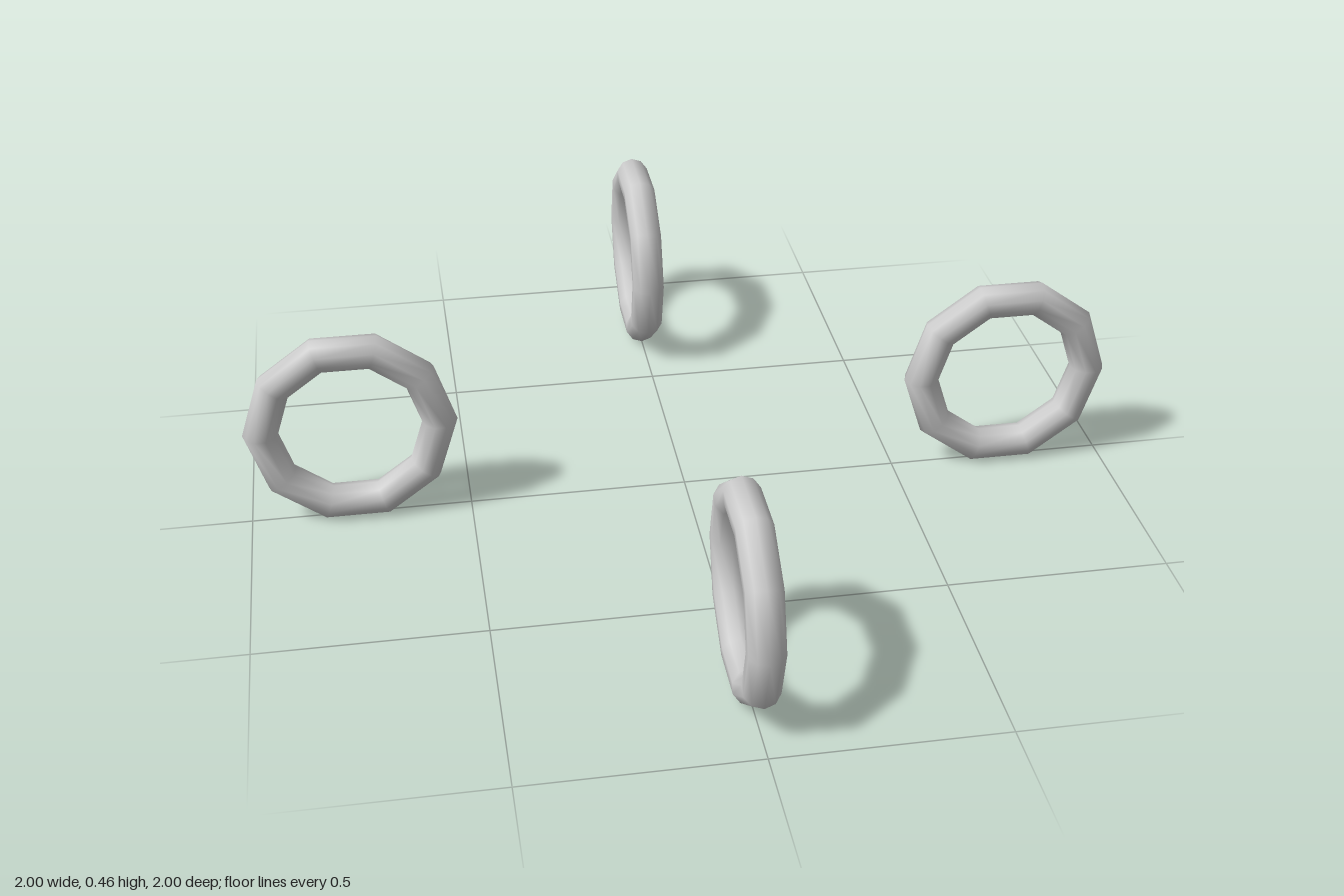
import * as THREE from 'three';

export function createModel() {
  const model = new THREE.Group();
  const material = new THREE.MeshStandardMaterial({ color: 0xcccccc });

  // Ten-sided ring with a ten-sided tube, smooth shaded
  const ringRadius = 0.2, tubeRadius = 0.04, sides = 10;
  const ringGeometry = new THREE.TorusGeometry(ringRadius, tubeRadius, sides, sides);

  // The ring rests on a flat side, and its outer corner reaches 1 unit from the centre
  const outer = ringRadius + tubeRadius;
  const height = outer * Math.sin((2 * Math.PI) / 5);
  const distance = 1 - outer;

  // Four upright rings around the centre, each in a plane through the vertical axis
  ['leftRing', 'backRing', 'rightRing', 'frontRing'].forEach((name, i) => {
    const angle = (i * Math.PI) / 2;
    const ring = new THREE.Mesh(ringGeometry, material);
    ring.name = name;
    ring.position.set(distance * Math.cos(angle), height, -distance * Math.sin(angle));
    ring.rotation.y = angle;
    model.add(ring);
  });

  return model;
}
